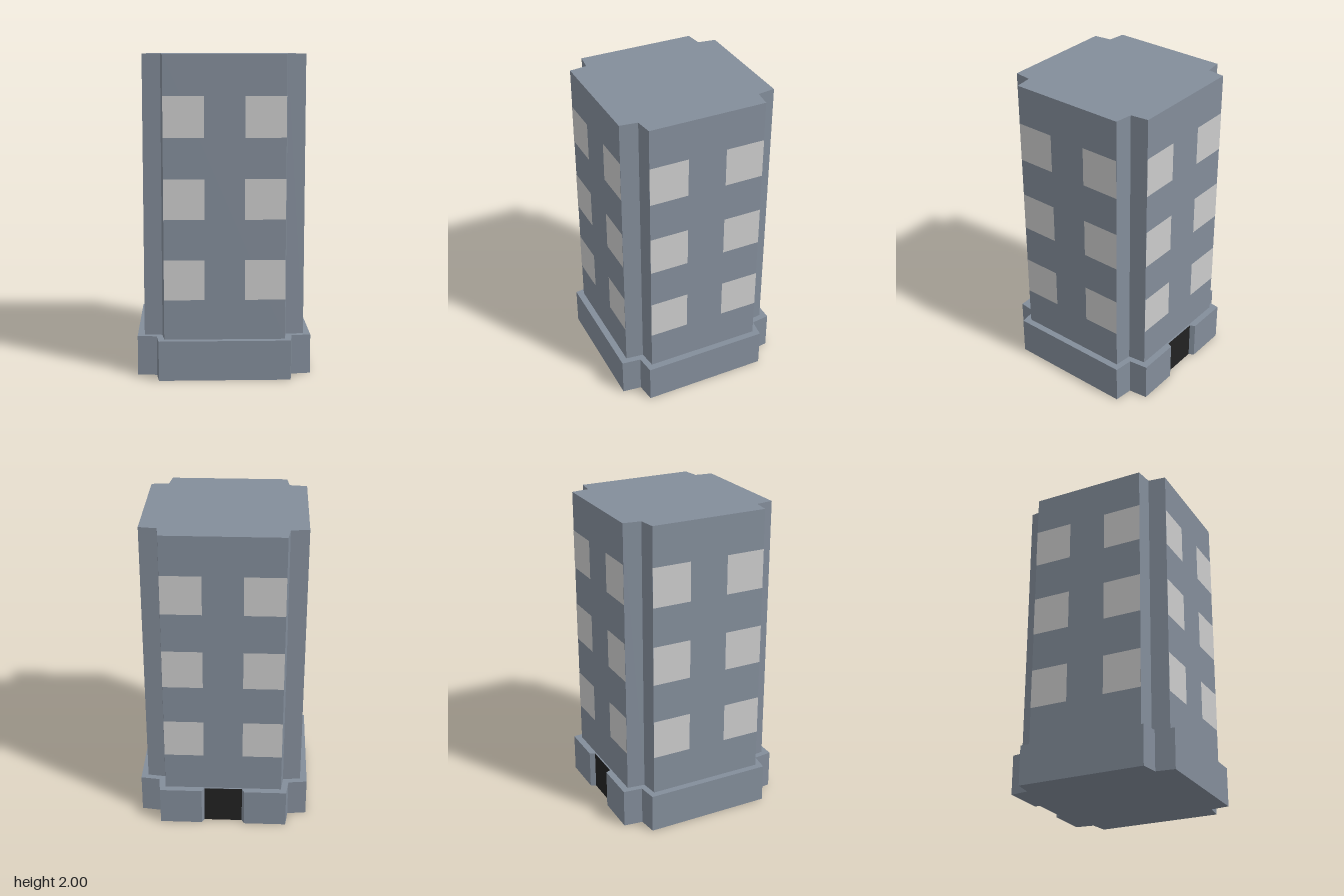
import * as THREE from 'three';

const material = (color) => new THREE.MeshStandardMaterial({ color, flatShading: true });

// One notched corner, turned four times about the centre, gives the floor plan
function planPoints(half, side, notch) {
  const corner = [[half, side], [notch, notch], [side, half]];
  const points = [];
  for (let i = 0; i < 4; i++) {
    const c = Math.round(Math.cos(i * Math.PI / 2));
    const s = Math.round(Math.sin(i * Math.PI / 2));
    for (const [x, y] of corner) points.push([x * c - y * s, x * s + y * c]);
  }
  return points;
}

// Upright prism standing at height y; the plan's +y side becomes the back
function prism(name, points, y, height, mat) {
  const shape = new THREE.Shape(points.map(([px, py]) => new THREE.Vector2(px, py)));
  const geometry = new THREE.ExtrudeGeometry(shape, { depth: height, bevelEnabled: false });
  geometry.rotateX(-Math.PI / 2);
  const mesh = new THREE.Mesh(geometry, mat);
  mesh.name = name;
  mesh.position.y = y;
  return mesh;
}

export function createModel() {
  const model = new THREE.Group();
  model.name = 'towerBlock';
  const wall = material(0x838d9a);
  const glass = material(0xcccccc);
  const dark = material(0x222222);

  // Base with the doorway recess cut into the back edge
  const basePlan = planPoints(0.543, 0.408, 0.423);
  basePlan.splice(3, 0, [0.138, 0.543], [0.122, 0.509], [-0.122, 0.509], [-0.138, 0.543]);
  model.add(prism('base', basePlan, 0, 0.25, wall));

  // Main tower
  model.add(prism('tower', planPoints(0.5, 0.374, 0.388), 0.25, 1.75, wall));

  // Door panel at the back of the recess
  const door = new THREE.Mesh(new THREE.PlaneGeometry(0.244, 0.25), dark);
  door.name = 'door';
  door.position.set(0, 0.125, -0.5105);
  door.rotation.y = Math.PI;
  model.add(door);

  // Two columns of three windows on each of the four sides
  const pane = new THREE.PlaneGeometry(0.25, 0.25);
  ['front', 'left', 'back', 'right'].forEach((side, i) => {
    const windows = new THREE.Group();
    windows.name = side + 'Windows';
    windows.rotation.y = i * Math.PI / 2;
    for (const x of [-0.249, 0.249]) {
      for (const y of [0.625, 1.125, 1.625]) {
        const mesh = new THREE.Mesh(pane, glass);
        mesh.name = 'window';
        mesh.position.set(x, y, 0.5015);
        windows.add(mesh);
      }
    }
    model.add(windows);
  });

  return model;
}
